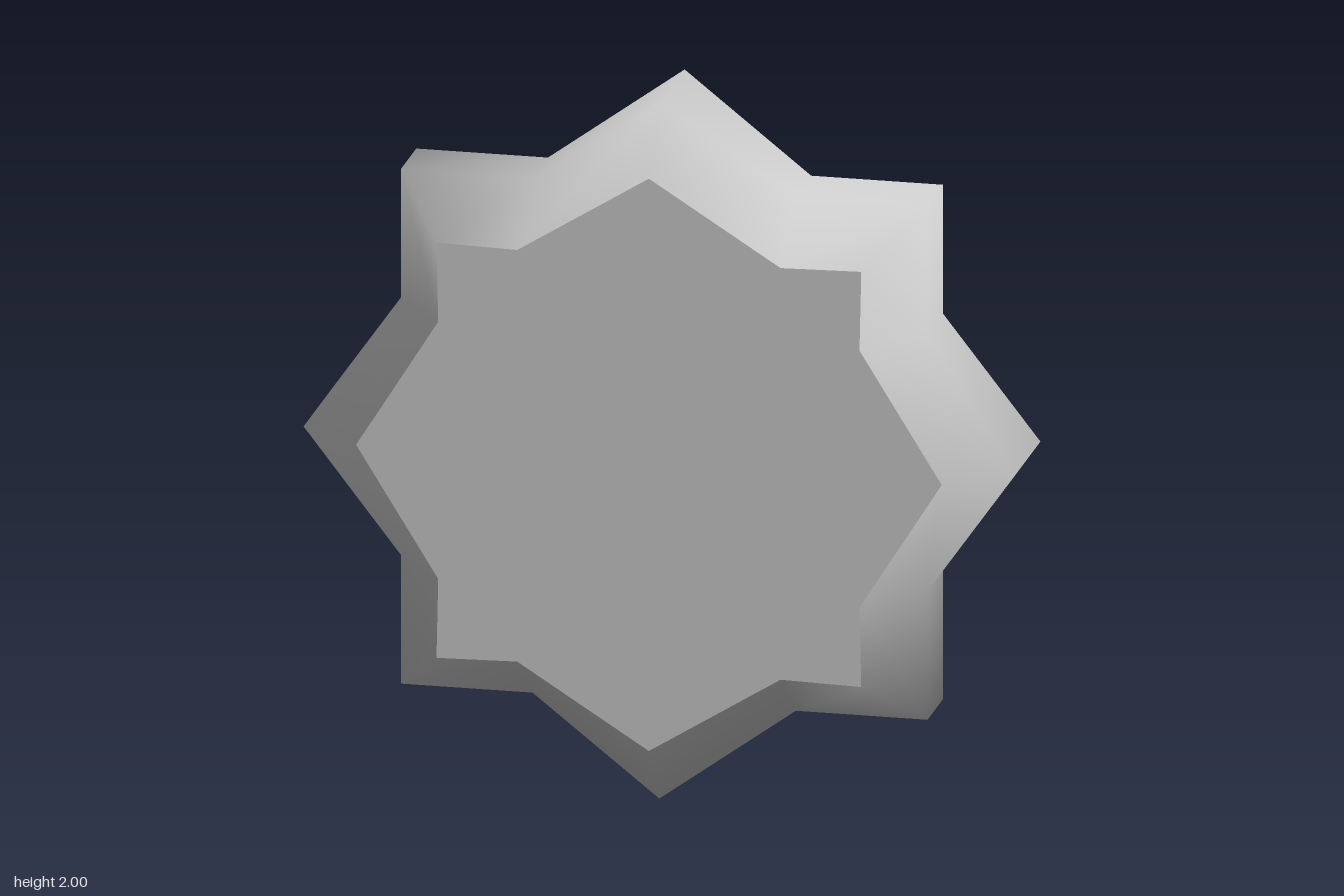
import * as THREE from 'three';

// Eight-pointed loop: four long tips and four square corners, 16 points, counter-clockwise from the front
function star(tip, corner, valley, valleyOut, zTip, zCorner) {
  const quarter = [[tip, 0, zTip], [valleyOut, valley, zCorner], [corner, corner, zCorner], [valley, valleyOut, zCorner]];
  const points = [];
  for (let q = 0; q < 4; q++) {
    const c = Math.round(Math.cos(q * Math.PI / 2)), s = Math.round(Math.sin(q * Math.PI / 2));
    for (const [x, y, z] of quarter) points.push([x * c - y * s, x * s + y * c, z]);
  }
  return points;
}

const centre = (z) => star(0, 0, 0, 0, z, z);

// Bridges successive loops with quads; normals weigh both diagonals so mirrored sides shade alike
function bridge(loops) {
  const n = loops[0].length, index = [], otherDiagonal = [];
  for (let k = 0; k < loops.length - 1; k++) {
    for (let i = 0; i < n; i++) {
      const j = (i + 1) % n;
      const a = k * n + i, b = k * n + j, c = a + n, d = b + n;
      index.push(a, b, d, a, d, c);
      otherDiagonal.push(a, b, c, b, d, c);
    }
  }
  const geometry = new THREE.BufferGeometry();
  geometry.setAttribute('position', new THREE.Float32BufferAttribute(loops.flat(2), 3));
  geometry.setIndex([...index, ...otherDiagonal]);
  geometry.computeVertexNormals();
  geometry.setIndex(index);
  return geometry;
}

function flat(geometry) {
  const g = geometry.toNonIndexed();
  g.computeVertexNormals();
  return g;
}

export function createModel() {
  const group = new THREE.Group();
  group.name = 'starShield';
  const grey = new THREE.MeshStandardMaterial({ color: 0xcccccc, side: THREE.DoubleSide });
  grey.name = 'grey';

  const add = (name, geometry) => {
    const mesh = new THREE.Mesh(geometry, grey);
    mesh.name = name;
    mesh.position.y = 1;
    group.add(mesh);
  };

  // Cross-section loops from the back rim round to the hollow's floor
  const rimOuter = star(1, 0.74, 0.37, 0.74, -0.163, -0.1);
  const shoulder = star(1, 0.74, 0.37, 0.74, 0.15, 0.09);
  const face = star(0.823, 0.597, 0.37, 0.592, 0.28, 0.28);
  const rimInner = star(0.83, 0.599, 0.37, 0.594, -0.152, -0.1);
  const innerShoulder = star(0.83, 0.599, 0.37, 0.594, 0.12, 0.09);
  const floor = star(0.68, 0.49, 0.34, 0.485, 0.19, 0.19);

  add('frontFace', bridge([face, centre(0.28)]));
  add('outerWall', bridge([rimOuter, shoulder, face]));
  add('backRim', flat(bridge([rimInner, rimOuter])));
  // Hollow with straight sides, a sloped shoulder and a flat floor
  add('innerHollow', bridge([centre(0.19), floor, innerShoulder, rimInner]));

  // Thin arched arm strap across the back, its ends sunk into the walls
  const strap = new THREE.PlaneGeometry(1.7, 0.28, 4, 1).rotateY(Math.PI);
  const depth = [-0.283, -0.22, -0.06];
  const p = strap.attributes.position;
  for (let i = 0; i < p.count; i++) p.setZ(i, depth[Math.round(Math.abs(p.getX(i)) / 0.425)]);
  strap.computeVertexNormals();
  add('armStrap', strap);

  return group;
}
